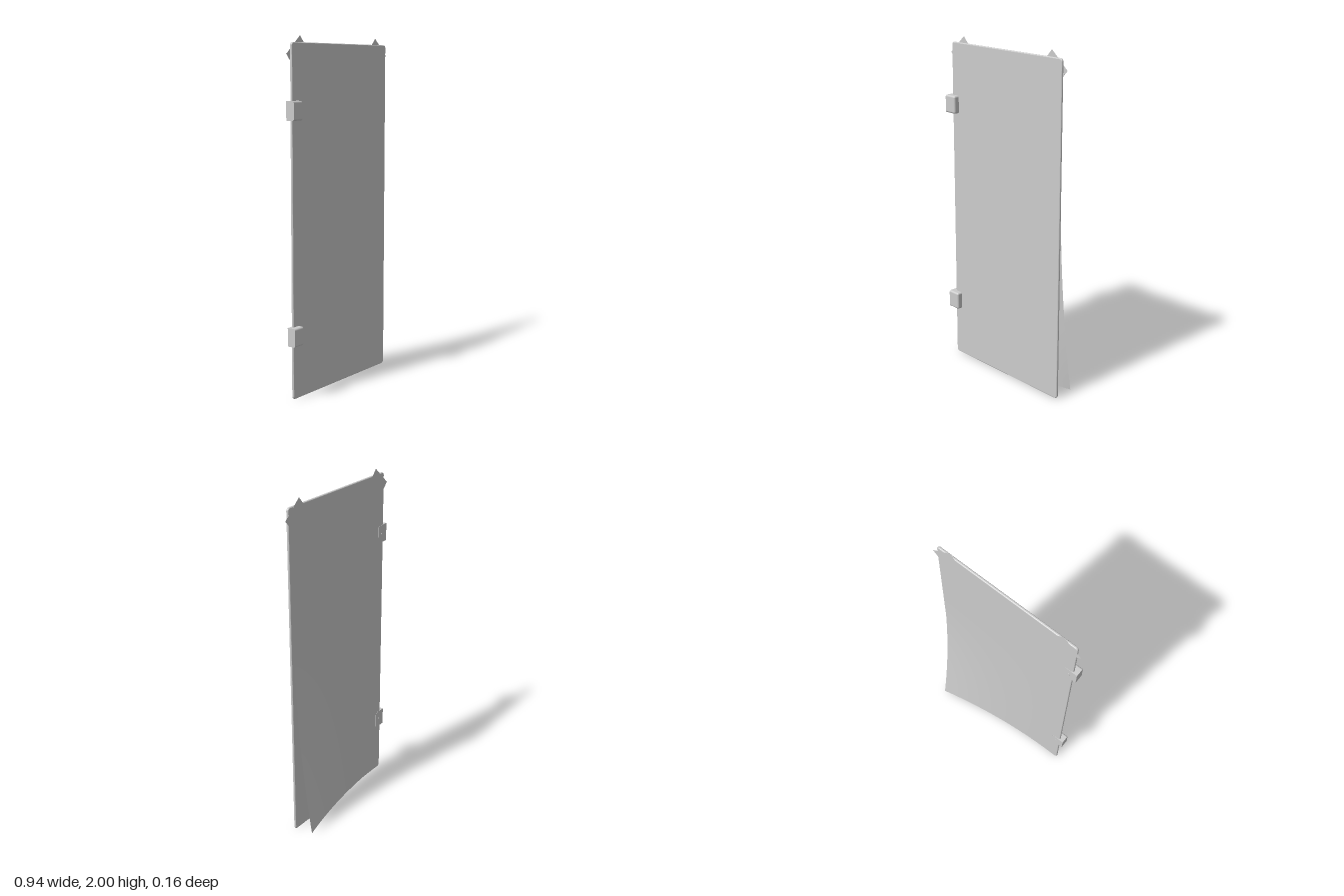
import * as THREE from 'three';
import { toCreasedNormals } from 'three/addons/utils/BufferGeometryUtils.js';
import { RoundedBoxGeometry } from 'three/addons/geometries/RoundedBoxGeometry.js';

const grey = new THREE.MeshStandardMaterial({ color: 0xcccccc, side: THREE.DoubleSide });
grey.name = 'lightGrey';

function add(parent, name, geometry) {
  const mesh = new THREE.Mesh(geometry, grey);
  mesh.name = name;
  parent.add(mesh);
  return mesh;
}

// Thin door panel with small round corners and rounded edges; the faces stay flat
function panelGeometry() {
  const b = 0.006, w = 0.442 - b, y0 = b, y1 = 1.963 - b, r = 0.012;
  const s = new THREE.Shape();
  s.absarc(w - r, y0 + r, r, -Math.PI / 2, 0);
  s.absarc(w - r, y1 - r, r, 0, Math.PI / 2);
  s.absarc(-w + r, y1 - r, r, Math.PI / 2, Math.PI);
  s.absarc(-w + r, y0 + r, r, Math.PI, Math.PI * 1.5);
  s.closePath();
  const g = new THREE.ExtrudeGeometry(s, {
    depth: 0.003, bevelEnabled: true, bevelSize: b, bevelThickness: b, bevelSegments: 4, curveSegments: 5,
  });
  g.translate(0, 0, 0.0375);
  return toCreasedNormals(g, 0.1);
}

// Sheet on the back whose lower corner on the +x side peels away
function sheetGeometry() {
  const g = new THREE.PlaneGeometry(0.864, 1.946, 24, 48);
  g.rotateY(Math.PI);
  g.translate(0, 0.985, 0.0285);
  const p = g.attributes.position;
  for (let i = 0; i < p.count; i++) {
    const u = (p.getX(i) + 0.432) / 0.864;
    const v = Math.max(0, (1.36 - p.getY(i)) / 1.348);
    p.setZ(i, p.getZ(i) - 0.1085 * u * u * v * v);
  }
  g.computeVertexNormals();
  return g;
}

// Hinge block: rounded towards the front and the panel, square on the outside and back
function hingeGeometry() {
  const r = 0.011, left = -0.468, right = -0.389, back = 0.027, front = 0.0795;
  const g = new RoundedBoxGeometry(right - left + r, 0.105, front - back + r, 4, r);
  g.translate((left + right - r) / 2, 0, (back + front - r) / 2);
  const p = g.attributes.position, n = g.attributes.normal;
  for (let i = 0; i < p.count; i += 3) {
    const corners = [i, i + 1, i + 2];
    for (const c of corners) {
      p.setX(c, Math.max(left, p.getX(c)));
      p.setZ(c, Math.max(back, p.getZ(c)));
    }
    // Flat normals on the two cut sides
    const onLeft = corners.every((c) => p.getX(c) < left + 1e-5);
    const onBack = corners.every((c) => p.getZ(c) < back + 1e-5);
    if (onLeft) corners.forEach((c) => n.setXYZ(c, -1, 0, 0));
    else if (onBack) corners.forEach((c) => n.setXYZ(c, 0, 0, -1));
  }
  return g;
}

export function createModel() {
  const model = new THREE.Group();
  model.name = 'doorWithPeelingSheet';

  add(model, 'doorPanel', panelGeometry());
  add(model, 'peelingSheet', sheetGeometry());

  // Hinges with a small screw at the back
  for (const y of [0.361, 1.6]) {
    const hinge = new THREE.Group();
    hinge.name = 'hinge';
    hinge.position.y = y;
    add(hinge, 'hingeBlock', hingeGeometry());
    const screw = add(hinge, 'hingeScrew', new THREE.CylinderGeometry(0.008, 0.008, 0.004, 12));
    screw.rotation.x = Math.PI / 2;
    screw.position.set(-0.42, 0, 0.0265);
    model.add(hinge);
  }

  // Tape strips across the two top corners
  for (const side of [-1, 1]) {
    const corners = [[0.353, 2.0], [0.468, 1.9], [0.428, 1.855], [0.313, 1.955]];
    const shape = new THREE.Shape(corners.map(([x, y]) => new THREE.Vector2(side * x, y)));
    const tape = add(model, 'tapeStrip', new THREE.ExtrudeGeometry(shape, { depth: 0.001, bevelEnabled: false }));
    tape.position.z = 0.0296;
  }
  return model;
}
